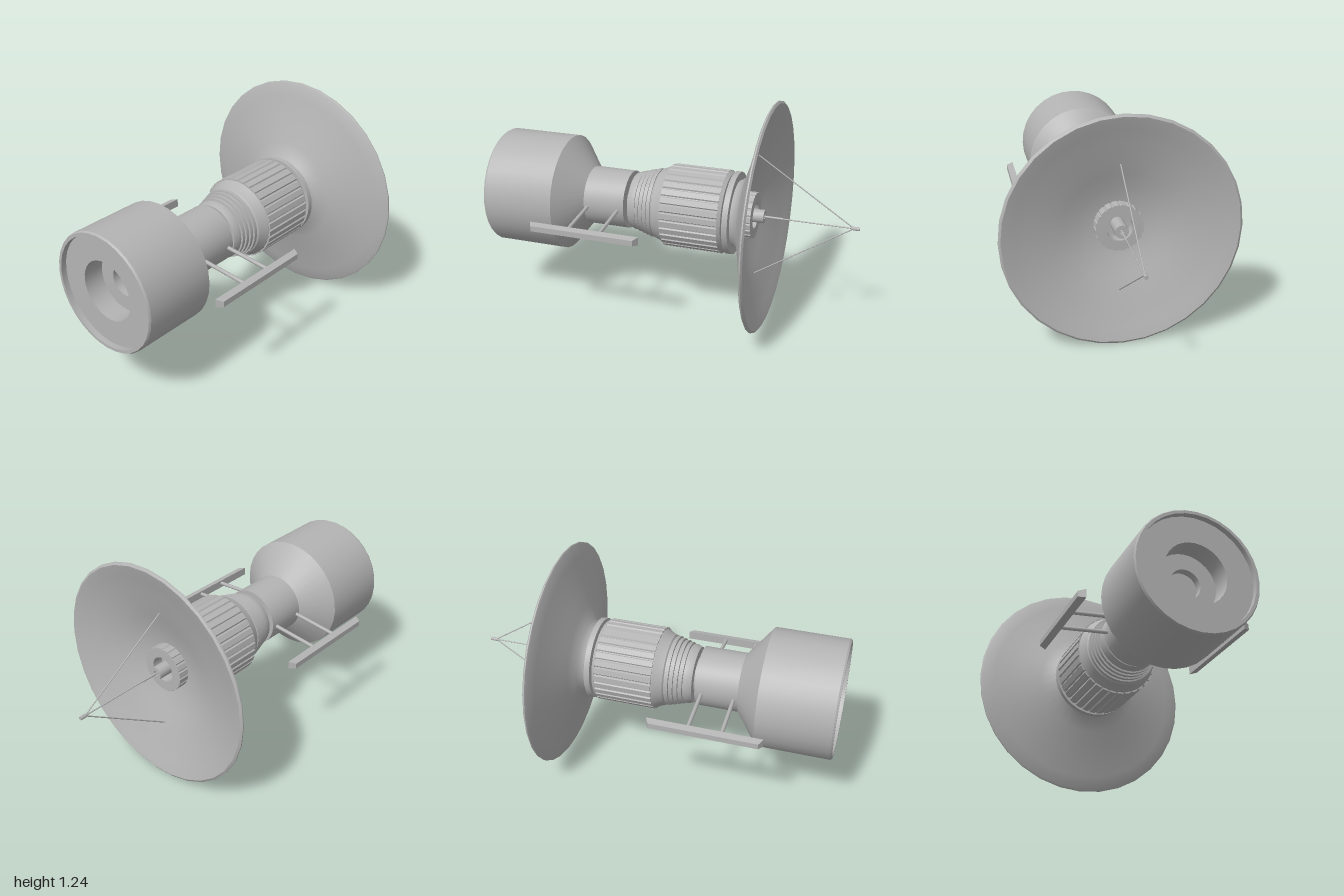
import * as THREE from 'three';
import { toCreasedNormals } from 'three/addons/utils/BufferGeometryUtils.js';

export function createModel() {
  const model = new THREE.Group();
  model.name = 'spaceProbe';
  const grey = new THREE.MeshStandardMaterial({ color: 0xb4b4b4 });
  grey.name = 'hull grey';

  // everything is arranged around the x axis, then lifted
  const body = new THREE.Group();
  body.name = 'body';
  body.position.y = 0.62;
  model.add(body);

  function add(name, geometry, parent = body) {
    const mesh = new THREE.Mesh(geometry, grey);
    mesh.name = name;
    parent.add(mesh);
    return mesh;
  }

  // profile of [radius, x] pairs turned around the x axis
  function turned(name, profile, sides = 32, crease = 0.45) {
    const points = profile.map(([r, x]) => new THREE.Vector2(r, x));
    const geometry = new THREE.LatheGeometry(points, sides);
    geometry.rotateZ(-Math.PI / 2);
    return add(name, toCreasedNormals(geometry, crease));
  }

  // round bar between two points
  function bar(name, from, to, radius, parent = body) {
    const a = new THREE.Vector3(...from), b = new THREE.Vector3(...to);
    const mesh = add(name, new THREE.CylinderGeometry(radius, radius, a.distanceTo(b), 10), parent);
    mesh.position.copy(a).add(b).multiplyScalar(0.5);
    mesh.quaternion.setFromUnitVectors(new THREE.Vector3(0, 1, 0), b.sub(a).normalize());
    return mesh;
  }

  // toothed disc lying along the x axis
  function fluted(name, outer, inner, teeth, x0, x1, hole = 0) {
    const shape = new THREE.Shape();
    const step = (Math.PI * 2) / teeth;
    for (let i = 0; i < teeth; i++) {
      [[0, inner], [0.12, outer], [0.78, outer], [0.9, inner]].forEach(([t, r], k) => {
        const angle = (i + t) * step;
        const x = r * Math.cos(angle), y = r * Math.sin(angle);
        if (i + k === 0) shape.moveTo(x, y);
        else shape.lineTo(x, y);
      });
    }
    shape.closePath();
    if (hole) shape.holes.push(new THREE.Path().absarc(0, 0, hole, 0, Math.PI * 2, true));
    const geometry = new THREE.ExtrudeGeometry(shape, { depth: x1 - x0, bevelEnabled: false, curveSegments: 16 });
    geometry.rotateY(Math.PI / 2).translate(x0, 0, 0);
    return add(name, geometry);
  }

  // rear drum with stepped recess, cone and smooth barrel
  turned('rearDrum', [
    [0, -0.82], [0.078, -0.82], [0.078, -0.86], [0.16, -0.86], [0.16, -0.97], [0.298, -0.97],
    [0.298, -1], [0.314, -1], [0.32, -0.99], [0.32, -0.6], [0.16, -0.475], [0.16, -0.245], [0, -0.245],
  ]);
  turned('neck', [[0.1, -0.26], [0.1, -0.21]]);

  // stepped collar in front of the barrel
  const collar = [[0, -0.225], [0.152, -0.225]];
  for (let i = 0; i < 5; i++) {
    const r = 0.162 + i * 0.007, x = -0.2 + i * 0.024;
    collar.push([r, x], [r, x + 0.019], [r - 0.005, x + 0.02], [r - 0.005, x + 0.023]);
  }
  collar.push([0.194, -0.075], [0.203, -0.05], [0.218, -0.022], [0.218, -0.01], [0, -0.01]);
  turned('steppedCollar', collar);

  // fluted section, its bevelled front edge and the flange behind the dish
  fluted('flutedSection', 0.226, 0.219, 32, -0.02, 0.295);
  turned('flutedSectionEdge', [[0.225, 0.294], [0.212, 0.312], [0, 0.312]]);
  turned('dishNeck', [[0.125, 0.3], [0.125, 0.33]]);
  turned('dishFlange', [[0, 0.322], [0.223, 0.322], [0.223, 0.352], [0, 0.352]]);

  // closed shell: outside first, then the hollow front
  turned('dish', [
    [0, 0.348], [0.178, 0.348], [0.186, 0.368], [0.21, 0.395], [0.29, 0.42], [0.37, 0.448],
    [0.47, 0.476], [0.54, 0.496], [0.608, 0.513], [0.618, 0.519], [0.618, 0.525], [0.606, 0.533],
    [0.594, 0.53], [0.54, 0.512], [0.47, 0.49], [0.37, 0.462], [0.29, 0.436], [0.21, 0.41],
    [0.12, 0.39], [0, 0.385],
  ], 32, 0.7);

  // notched hub, feed horn and aerial
  fluted('feedHub', 0.125, 0.12, 20, 0.385, 0.45, 0.069);
  turned('feedHorn', [[0, 0.38], [0.036, 0.38], [0.036, 0.5], [0.014, 0.5], [0.014, 0.48], [0, 0.48]], 16);
  bar('aerialBase', [0.47, 0, 0], [0.6, 0, 0], 0.006);
  bar('aerial', [0.58, 0, 0], [0.97, 0, 0], 0.0035);
  turned('aerialTip', [[0, 0.955], [0.006, 0.955], [0.01, 0.968], [0.01, 1], [0, 1]], 10);
  for (const side of [1, -1]) {
    bar('aerialStay', [0.455, 0.343 * side, 0], [0.965, 0.004 * side, 0], 0.0032);
  }

  // side rails on twin struts, mirrored
  for (const side of [1, -1]) {
    const rail = new THREE.Group();
    rail.name = side > 0 ? 'frontRail' : 'backRail';
    body.add(rail);
    const geometry = new THREE.BoxGeometry(0.61, 0.046, 0.036);
    const p = geometry.attributes.position;
    for (let i = 0; i < p.count; i++) {
      if (p.getZ(i) * side > 0) p.setXY(i, p.getX(i) * 0.935, p.getY(i) * 0.65);
    }
    geometry.computeVertexNormals();
    add('rail', geometry, rail).position.set(-0.365, -0.038, 0.438 * side);
    for (const x of [-0.455, -0.28]) {
      bar('railStrut', [x, -0.01, 0.14 * side], [x, -0.034, 0.43 * side], 0.0105, rail);
    }
  }
  return model;
}
